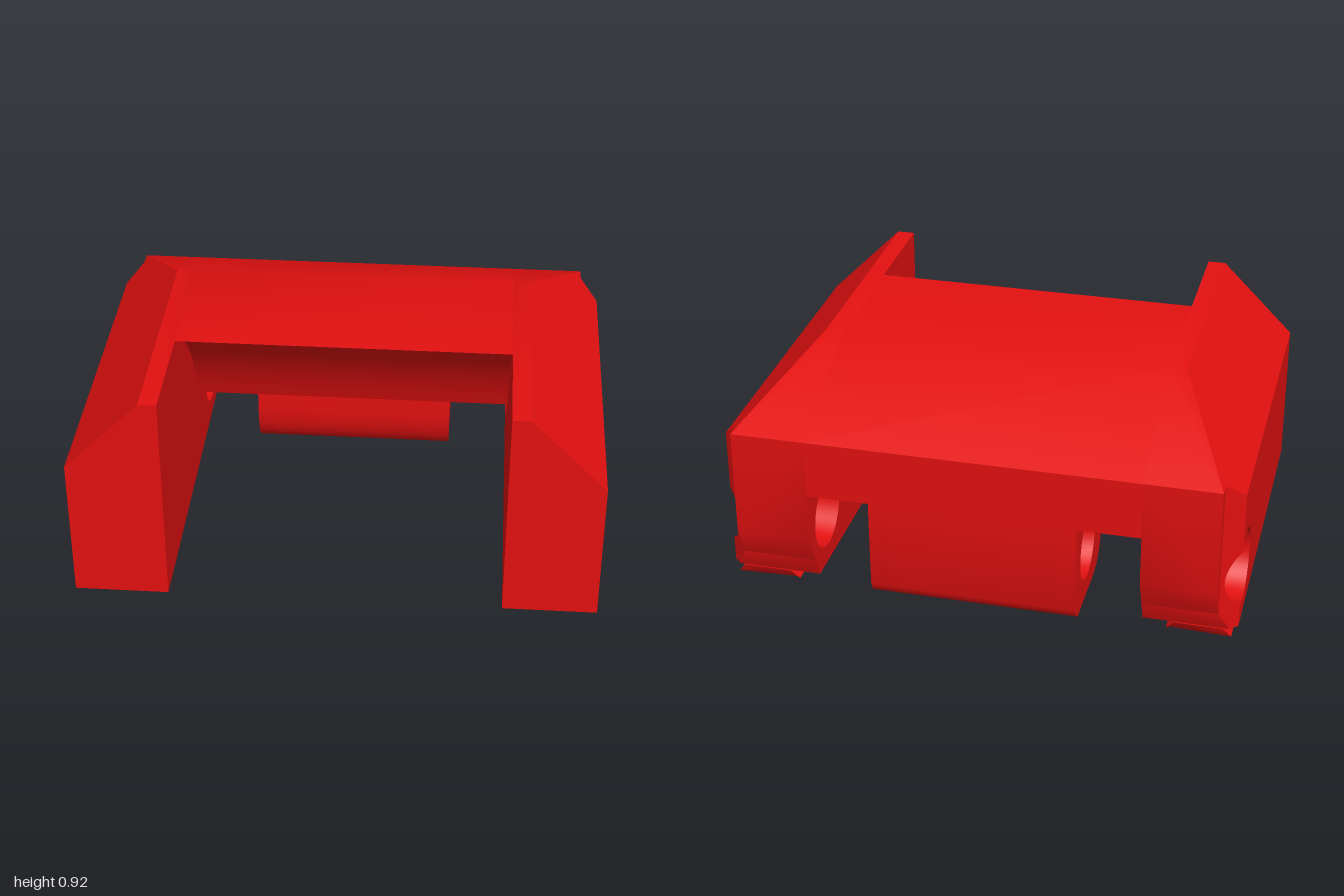
import * as THREE from 'three';
import { toCreasedNormals } from 'three/addons/utils/BufferGeometryUtils.js';

// Profiles are drawn in (s, y), where s = -z runs towards the back.
const AXLE = { s: 0.53, y: 0.275, r: 0.145 };

const polygon = (points) => new THREE.Shape(points.map(([a, b]) => new THREE.Vector2(a, b)));

function circleHole(shape, a, b, r) {
  const hole = new THREE.Path();
  hole.absarc(a, b, r, 0, Math.PI * 2, true);
  shape.holes.push(hole);
  return shape;
}

const extrude = (shape, depth) =>
  new THREE.ExtrudeGeometry(shape, { depth, bevelEnabled: false, curveSegments: 28 });

// Extrude a side profile from x0 to x1; x1 may be a plane given as a function of (s, y).
function sideSlab(shape, x0, x1) {
  const g = extrude(shape, 1);
  g.rotateY(Math.PI / 2);
  const p = g.attributes.position;
  for (let i = 0; i < p.count; i++) {
    const outer = typeof x1 === 'function' ? x1(-p.getZ(i), p.getY(i)) : x1;
    p.setX(i, p.getX(i) > 0.5 ? outer : x0);
  }
  return g;
}

// Mirror across x and restore the corner order.
function mirrorX(g) {
  const p = g.attributes.position;
  const a = new THREE.Vector3(), b = new THREE.Vector3();
  g.scale(-1, 1, 1);
  for (let i = 0; i < p.count; i += 3) {
    a.fromBufferAttribute(p, i + 1);
    b.fromBufferAttribute(p, i + 2);
    p.setXYZ(i + 1, b.x, b.y, b.z);
    p.setXYZ(i + 2, a.x, a.y, a.z);
  }
  return g;
}

export function createModel() {
  const model = new THREE.Group();
  model.name = 'rollerBracket';
  const red = new THREE.MeshStandardMaterial({ color: 0xe31010 });
  red.name = 'red plastic';

  function add(parent, name, geometry, mirrored = false) {
    let g = geometry.index ? geometry.toNonIndexed() : geometry;
    if (mirrored) g = mirrorX(g);
    g.deleteAttribute('normal');
    g.computeVertexNormals();
    const mesh = new THREE.Mesh(toCreasedNormals(g, 0.5), red);
    mesh.name = name;
    parent.add(mesh);
  }

  // Angle at which the axle hole crosses the start of the rear corner chamfer
  const cut = Math.acos((0.62 - AXLE.s) / AXLE.r);

  for (const mirrored of [false, true]) {
    const arm = new THREE.Group();
    arm.name = mirrored ? 'rightArm' : 'leftArm';
    model.add(arm);

    // Front block, with a vertical screw hole on one side only
    const front = polygon([[0.64, -0.745], [1, -0.745], [1, -0.3], [0.64, -0.3]]);
    if (!mirrored) circleHole(front, 0.82, -0.53, 0.045);
    const block = extrude(front, 0.57);
    block.rotateX(-Math.PI / 2);
    block.translate(0, 0.06, 0);
    add(arm, 'armFront', block, mirrored);

    // Main wall around the axle hole
    const wall = new THREE.Shape();
    wall.moveTo(-0.3, 0.06);
    wall.lineTo(0.62, 0.06);
    wall.absarc(AXLE.s, AXLE.y, AXLE.r, -cut, cut, true);
    wall.lineTo(0.62, 0.63);
    wall.lineTo(-0.3, 0.63);
    wall.closePath();
    add(arm, 'armWall', sideSlab(wall, 0.64, 1), mirrored);

    // Rear corner chamfer, which takes the rest of the hole
    const chamfer = new THREE.Shape();
    chamfer.moveTo(0.62, 0.06);
    chamfer.lineTo(0.65, 0.06);
    chamfer.lineTo(0.69, 0.148);
    chamfer.lineTo(0.69, 0.70);
    chamfer.lineTo(0.62, 0.63);
    chamfer.absarc(AXLE.s, AXLE.y, AXLE.r, cut, -cut, true);
    chamfer.closePath();
    add(arm, 'armChamfer', sideSlab(chamfer, 0.64, (s) => 1.62 - s), mirrored);

    // Narrow rear strip with its slanted lower edge
    const rear = polygon([[0.69, 0.148], [0.745, 0.27], [0.745, 0.70], [0.69, 0.70]]);
    add(arm, 'armRear', sideSlab(rear, 0.64, 0.93), mirrored);

    // Sloping shoulder
    const shoulder = polygon([[-0.745, 0.63], [0.62, 0.63], [0.69, 0.70],
      [0.745, 0.70], [0.245, 0.92], [-0.745, 0.92]]);
    add(arm, 'armShoulder', sideSlab(shoulder, 0.64, (s, y) => 1.63 - y), mirrored);

    // Dovetail rail under the arm, with a bevelled rear end
    const rail = extrude(polygon([[0.76, 0.06], [0.728, 0.02], [0.738, 0],
      [0.967, 0], [0.977, 0.02], [0.945, 0.06]]), 0.975);
    rail.translate(0, 0, -0.655);
    const p = rail.attributes.position;
    for (let i = 0; i < p.count; i++) {
      if (p.getZ(i) < 0) p.setZ(i, p.getY(i) < 0.01 ? -0.6 : p.getY(i) < 0.03 ? -0.64 : -0.655);
    }
    add(arm, 'rail', rail, mirrored);
  }

  // Bridge between the arms, hollowed at the front
  const bridge = new THREE.Shape();
  bridge.moveTo(-0.3, 0.92);
  bridge.quadraticCurveTo(0.05, 0.765, 0.18, 0.38);
  bridge.lineTo(0.45, 0.38);
  bridge.lineTo(0.66, 0.47);
  bridge.lineTo(0.745, 0.47);
  bridge.lineTo(0.745, 0.70);
  bridge.lineTo(0.245, 0.92);
  bridge.closePath();
  add(model, 'bridge', sideSlab(bridge, -0.64, 0.64));

  // Central axle block: solid ends and a middle with a shallow pocket underneath
  function tonguePiece(pocket) {
    const t = new THREE.Shape();
    t.moveTo(0.25, 0.38);
    t.lineTo(0.25, 0.28);
    t.quadraticCurveTo(0.25, 0.06, 0.42, 0.06);
    if (pocket) [[0.45, 0.06], [0.45, 0.11], [0.63, 0.11], [0.63, 0.06]].forEach((q) => t.lineTo(...q));
    t.lineTo(0.70, 0.06);
    t.quadraticCurveTo(0.735, 0.075, 0.745, 0.12);
    t.lineTo(0.745, 0.47);
    t.lineTo(0.66, 0.47);
    t.lineTo(0.45, 0.38);
    t.closePath();
    return circleHole(t, AXLE.s, AXLE.y, 0.138);
  }
  const tongue = new THREE.Group();
  tongue.name = 'axleBlock';
  model.add(tongue);
  add(tongue, 'axleBlockMiddle', sideSlab(tonguePiece(true), -0.33, 0.33));
  add(tongue, 'axleBlockLeftEnd', sideSlab(tonguePiece(false), 0.33, 0.4));
  add(tongue, 'axleBlockRightEnd', sideSlab(tonguePiece(false), -0.4, -0.33));

  return model;
}
